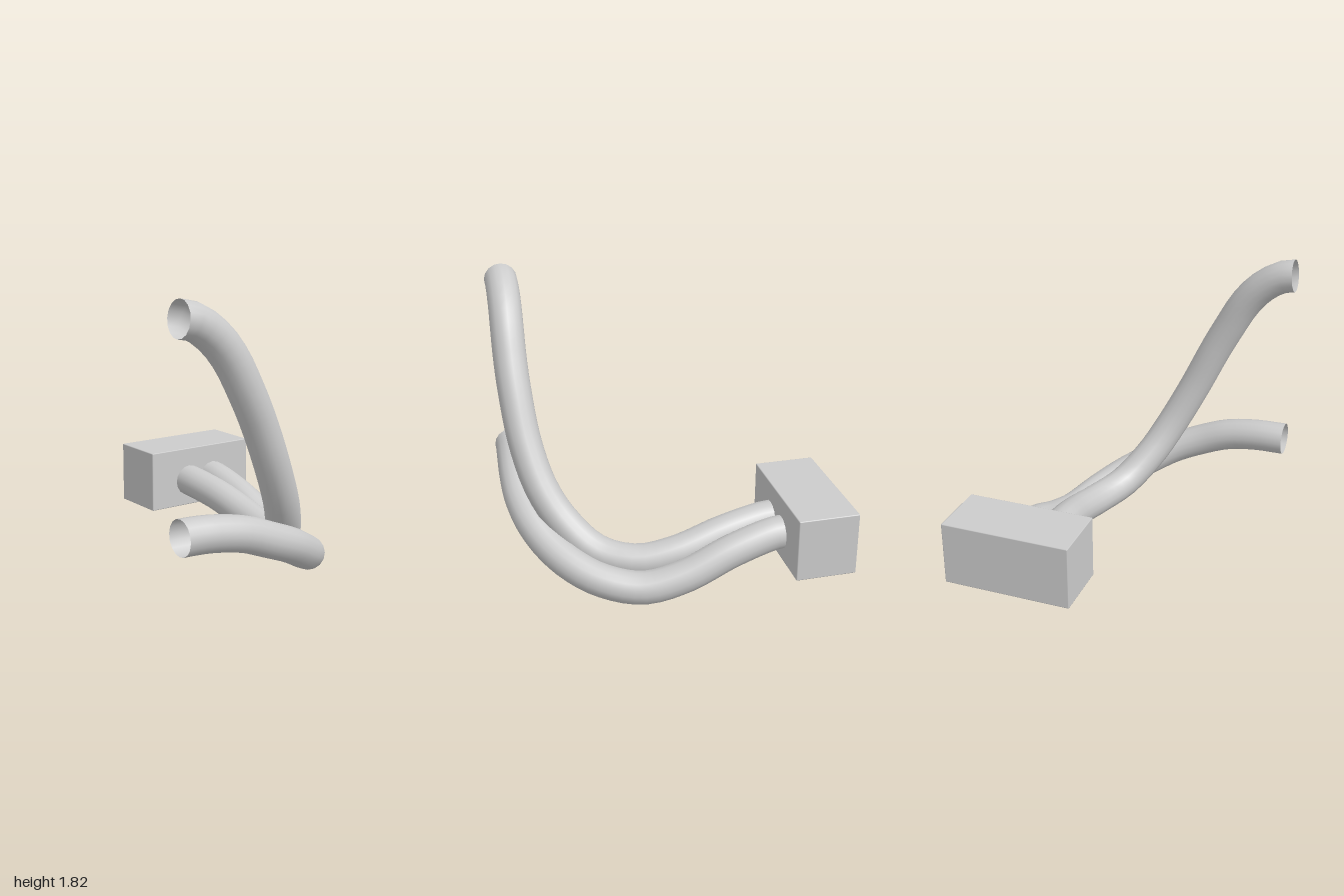
import * as THREE from 'three';
import { RoundedBoxGeometry } from 'three/addons/geometries/RoundedBoxGeometry.js';

const RADIUS = 0.104;

// Open round pipe swept through a few centre-line points
function pipe(name, points, material) {
  const curve = new THREE.CatmullRomCurve3(points.map(p => new THREE.Vector3(...p)), false, 'centripetal');
  const mesh = new THREE.Mesh(new THREE.TubeGeometry(curve, 40, RADIUS, 16, false), material);
  mesh.name = name;
  return mesh;
}

export function createModel() {
  const group = new THREE.Group();
  group.name = 'pipeAssembly';
  const solid = new THREE.MeshStandardMaterial({ color: 0xcccccc });
  const open = new THREE.MeshStandardMaterial({ color: 0xcccccc, side: THREE.DoubleSide });

  // Block with finely eased edges, from which both pipes emerge
  const block = new THREE.Mesh(new RoundedBoxGeometry(0.38, 0.4, 0.8, 1, 0.006), solid);
  block.name = 'block';
  block.position.set(-0.81, 0.41, -0.4);
  group.add(block);

  // Front pipe: dips, then sweeps high up and turns forward
  group.add(pipe('upperPipe', [
    [-0.64, 0.385, -0.3], [-0.56, 0.38, -0.302], [-0.3, 0.335, -0.33], [0, 0.25, -0.355],
    [0.25, 0.205, -0.322], [0.48, 0.245, -0.212], [0.66, 0.41, -0.077],
    [0.77, 0.6, 0.03], [0.84, 0.86, 0.16], [0.87, 1.147, 0.293],
    [0.877, 1.325, 0.385], [0.875, 1.485, 0.475], [0.87, 1.6, 0.568],
    [0.866, 1.688, 0.685], [0.865, 1.716, 0.76], [0.865, 1.72, 0.8],
  ], open));

  // Rear pipe: dips to the ground, loops outside and runs forward
  group.add(pipe('lowerPipe', [
    [-0.64, 0.385, -0.5], [-0.56, 0.377, -0.502], [-0.3, 0.3, -0.515], [0, 0.17, -0.522],
    [0.25, 0.11, -0.49], [0.49, 0.147, -0.4], [0.65, 0.213, -0.28],
    [0.76, 0.285, -0.14], [0.84, 0.37, 0.02], [0.88, 0.445, 0.2],
    [0.886, 0.52, 0.4], [0.875, 0.556, 0.6], [0.866, 0.564, 0.74], [0.865, 0.565, 0.8],
  ], open));

  return group;
}
